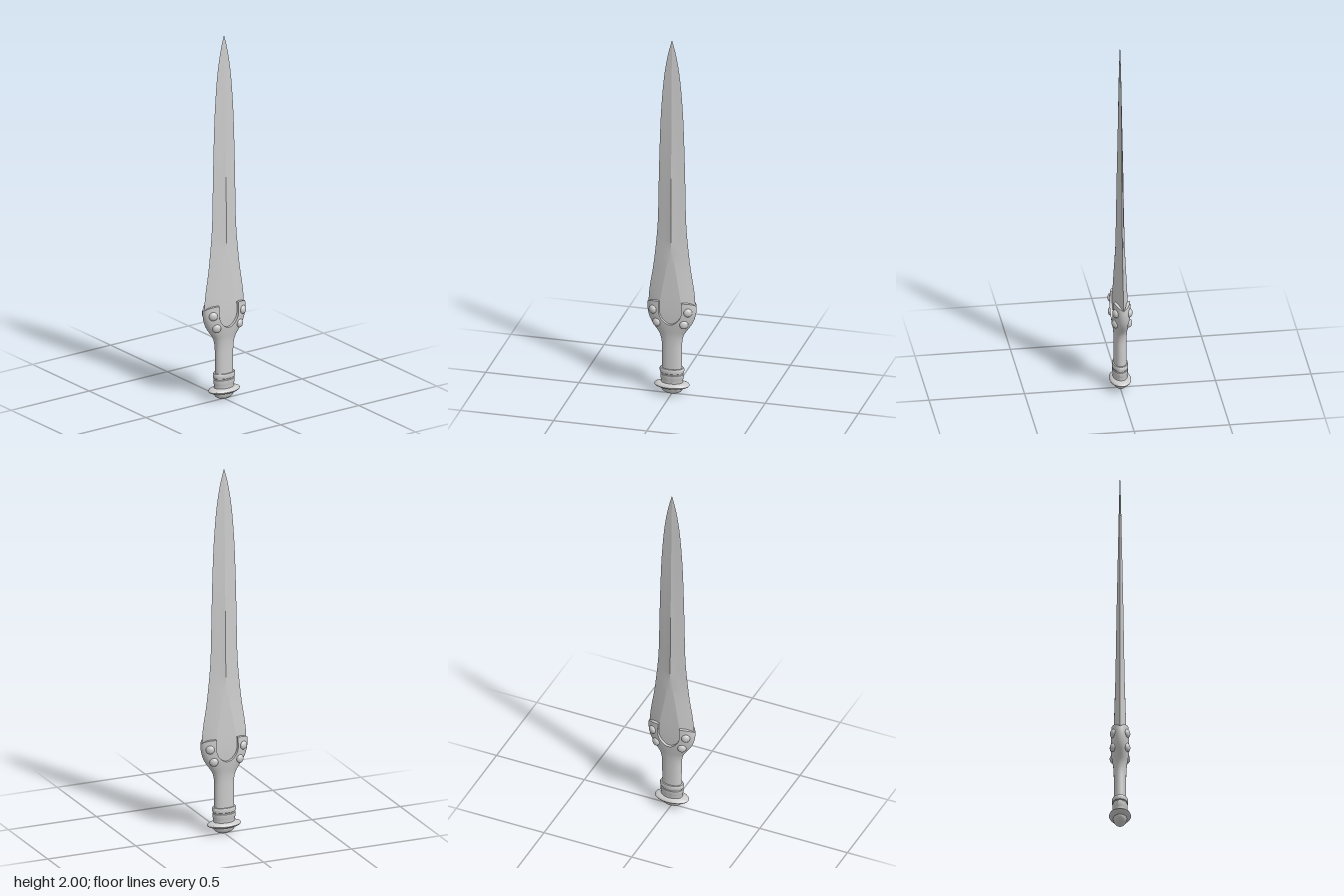
import * as THREE from 'three';
import { toCreasedNormals } from 'three/addons/utils/BufferGeometryUtils.js';

const material = new THREE.MeshStandardMaterial({ color: 0xcccccc, side: THREE.DoubleSide });

function part(name, geometry, parent) {
  const mesh = new THREE.Mesh(geometry, material);
  mesh.name = name;
  parent.add(mesh);
  return mesh;
}

// Smooth lookup of [half width, half depth] by height from [y, width, depth] points
function profile(points) {
  const curve = new THREE.CatmullRomCurve3(points.map(([y, w, d]) => new THREE.Vector3(w, y, d)));
  const samples = curve.getPoints(100);
  return (y) => {
    let i = 1;
    while (i < samples.length - 1 && samples[i].y < y) i++;
    const a = samples[i - 1], b = samples[i];
    const t = THREE.MathUtils.clamp((y - a.y) / (b.y - a.y), 0, 1);
    return [a.x + (b.x - a.x) * t, a.z + (b.z - a.z) * t];
  };
}

// Skin closed rings of [x, y, z] points, stacked from bottom to top
function loft(rings) {
  const n = rings[0].length, index = [];
  for (let j = 0; j < rings.length - 1; j++) {
    for (let i = 0; i < n; i++) {
      const a = j * n + i, b = j * n + (i + 1) % n;
      index.push(a, b, a + n, b, b + n, a + n);
    }
  }
  const g = new THREE.BufferGeometry();
  g.setAttribute('position', new THREE.Float32BufferAttribute(rings.flat(2), 3));
  g.setIndex(index);
  g.computeVertexNormals();
  return g;
}

// Leaf-shaped blade whose central ridge opens into a flat panel near the guard
function bladeGeometry() {
  const size = profile([
    [0.38, 0.07, 0.03], [0.45, 0.115, 0.033], [0.52, 0.125, 0.033], [0.6, 0.118, 0.031],
    [0.7, 0.102, 0.028], [0.8, 0.09, 0.025], [0.95, 0.077, 0.022], [1.2, 0.071, 0.018],
    [1.4, 0.066, 0.014], [1.6, 0.058, 0.01], [1.8, 0.041, 0.006], [1.92, 0.021, 0.003], [2, 0.0005, 0.0003],
  ]);
  const rings = [];
  const steps = 70;
  for (let j = 0; j <= steps; j++) {
    const y = 0.38 + 1.62 * j / steps;
    const [w, d] = size(y);
    const flat = Math.max(w * 0.02, Math.min(0.06, w * 0.6, (0.86 - y) * 0.17));
    const mid = (w + flat) / 2;
    const front = [[-w, 0], [-mid, d * 0.57], [-flat, d * 0.97], [0, d], [flat, d * 0.97], [mid, d * 0.57]];
    const ring = [...front, ...front.map(([x, z]) => [-x, -z])];
    rings.push(ring.map(([x, z]) => [x, y, z]));
  }
  return toCreasedNormals(loft(rings), 0.22);
}

// Grip flaring into a guard with two ears around a U-shaped opening
function addHilt(group) {
  const size = profile([
    [0.13, 0.053, 0.032], [0.22, 0.053, 0.032], [0.3, 0.055, 0.033], [0.34, 0.066, 0.036],
    [0.37, 0.086, 0.041], [0.41, 0.112, 0.047], [0.45, 0.126, 0.05], [0.49, 0.131, 0.05], [0.54, 0.126, 0.048],
  ]);
  const open = 0.47, base = 0.405;

  // Columns: position across the width and height of the rim there
  const half = [];
  for (let i = 0; i <= 10; i++) {
    const a = i / 10 * Math.PI / 2;
    half.push({ c: open * Math.sin(a), top: base + 0.07 * (1 - Math.cos(a)) });
  }
  const start = Math.asin(open + 0.004);
  for (let i = 0; i <= 12; i++) {
    const t = i / 12;
    half.push({ c: Math.sin(start + (Math.PI / 2 - start) * t), top: 0.53 - 0.023 * t * t });
  }
  const front = [...half.slice(1).reverse().map((p) => ({ c: -p.c, top: p.top })), ...half];
  const columns = [
    ...front.map((p) => ({ ...p, s: 1 })),
    ...front.slice(1, -1).reverse().map((p) => ({ ...p, s: -1 })),
  ];
  const point = ({ c, s }, y) => {
    const [w, d] = size(y);
    return [c * w, y, s * d * Math.pow(Math.max(0, 1 - Math.pow(Math.abs(c), 2.2)), 1 / 2.2)];
  };

  const rings = [];
  for (let j = 0; j <= 24; j++) {
    rings.push(columns.map((p) => point(p, 0.13 + (base - 0.13) * j / 24)));
  }
  for (let j = 1; j <= 8; j++) {
    rings.push(columns.map((p) => point(p, base + (p.top - base) * j / 8)));
  }
  part('gripAndGuard', loft(rings), group);

  // Rim closing the gap between the guard and the blade
  const rim = columns.map((p) => point(p, p.top));
  const inner = rim.map(([x, y, z]) => [x * 0.95, y, z * 0.55]);
  part('guardRim', toCreasedNormals(loft([rim, inner]), 0.6), group);

  // Domed rivets, two on each ear, front and back
  const rivets = new THREE.Group();
  rivets.name = 'rivets';
  group.add(rivets);
  const dome = new THREE.SphereGeometry(0.023, 20, 14);
  for (const s of [1, -1]) {
    for (const side of [1, -1]) {
      for (const [x, y] of [[0.095, 0.48], [0.074, 0.41]]) {
        const [w] = size(y);
        const rivet = part('rivet', dome, rivets);
        rivet.position.set(...point({ c: x * side / w, s }, y));
        rivet.scale.z = 0.62;
        rivet.rotation.y = s * side * 0.45;
      }
    }
  }
}

// Turned part squashed to an oval
function addTurned(name, points, depth, group) {
  const g = new THREE.LatheGeometry(points.map(([r, y]) => new THREE.Vector2(r, y)), 40);
  g.scale(1, 1, depth);
  part(name, toCreasedNormals(g, 0.6), group);
}

export function createModel() {
  const group = new THREE.Group();
  group.name = 'shortSword';
  part('blade', bladeGeometry(), group);
  addHilt(group);

  // Grooved collar
  addTurned('collar', [
    [0.05, 0.06], [0.059, 0.06], [0.059, 0.085], [0.062, 0.09], [0.062, 0.112], [0.058, 0.115], [0.058, 0.119],
    [0.064, 0.122], [0.065, 0.13], [0.065, 0.142], [0.062, 0.147], [0.05, 0.147],
  ], 0.64, group);

  // Pommel disc with a rounded edge
  addTurned('pommelDisc', [
    [0, 0.036], [0.06, 0.036], [0.08, 0.041], [0.09, 0.046], [0.094, 0.051],
    [0.09, 0.057], [0.078, 0.062], [0.06, 0.067], [0, 0.067],
  ], 0.61, group);

  // Domed end cap
  const cap = [];
  for (let i = 0; i <= 10; i++) {
    const a = i / 10 * Math.PI / 2;
    cap.push([0.06 * Math.sin(a), 0.038 - 0.038 * Math.cos(a)]);
  }
  addTurned('pommelCap', cap, 0.6, group);
  return group;
}
